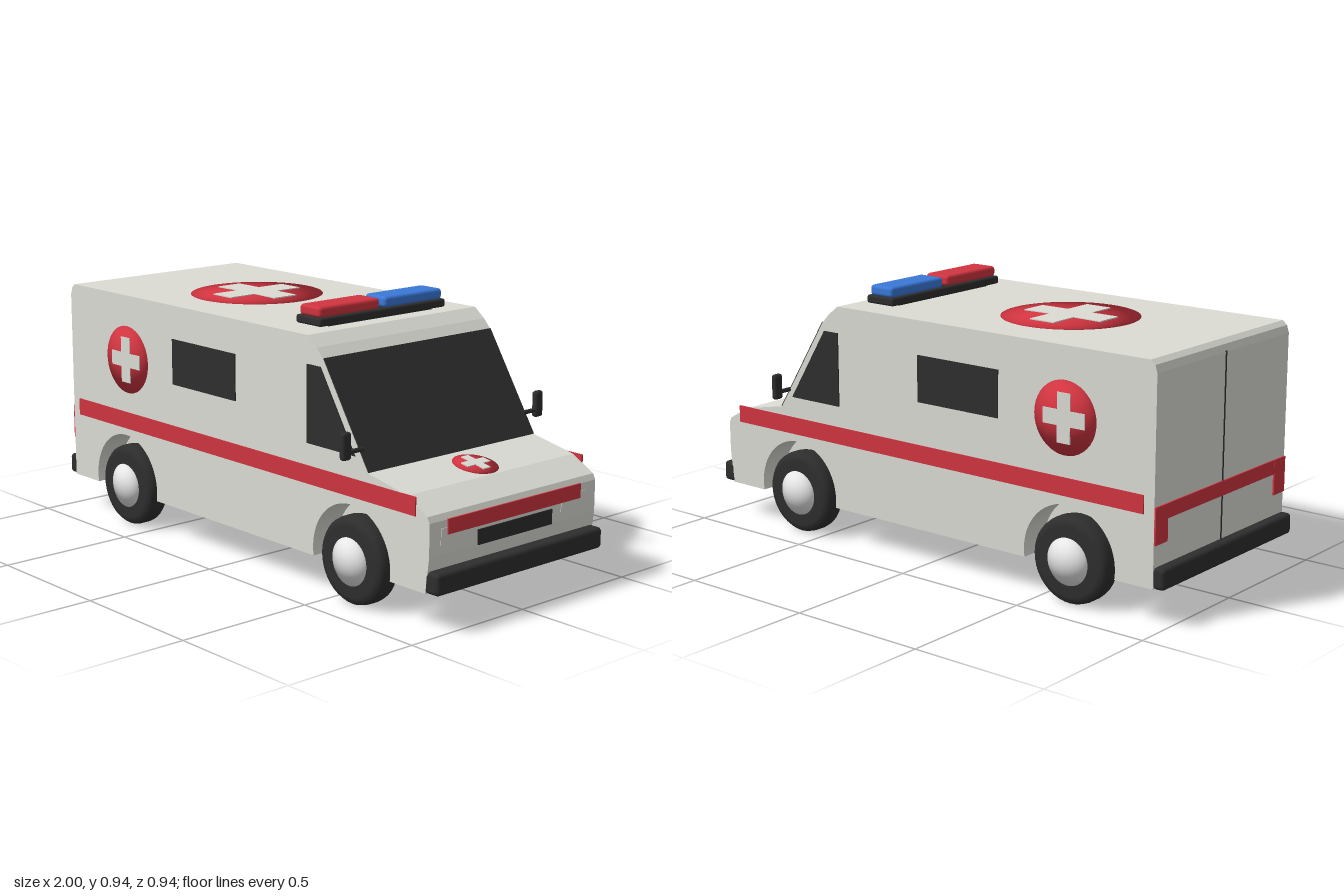
import * as THREE from 'three';
import { RoundedBoxGeometry } from 'three/addons/geometries/RoundedBoxGeometry.js';

const mat = (name, color, side = THREE.FrontSide) => {
  const m = new THREE.MeshStandardMaterial({ color, side });
  m.name = name;
  return m;
};

export function createModel() {
  const white = mat('bodyWhite', 0xdcdcd5);
  const red = mat('signalRed', 0xd03440);
  const blue = mat('signalBlue', 0x3a78d8);
  const black = mat('trimBlack', 0x2e2e2e);
  const silver = mat('hubSilver', 0xe6e6e6);

  const root = new THREE.Group();
  root.name = 'ambulance';

  const add = (name, geo, material, x = 0, y = 0, z = 0, parent = root) => {
    const mesh = new THREE.Mesh(geo, material);
    mesh.name = name;
    mesh.position.set(x, y, z);
    parent.add(mesh);
    return mesh;
  };
  // boxes given by their extents
  const box = (name, m, x0, x1, y0, y1, z0, z1, r = 0) => add(name,
    r ? new RoundedBoxGeometry(x1 - x0, y1 - y0, z1 - z0, 3, r) : new THREE.BoxGeometry(x1 - x0, y1 - y0, z1 - z0),
    m, (x0 + x1) / 2, (y0 + y1) / 2, (z0 + z1) / 2);
  const extrude = (shape, depth) =>
    new THREE.ExtrudeGeometry(shape, { depth, bevelEnabled: false, curveSegments: 32 });
  const polygon = pts => new THREE.Shape(pts.map(p => new THREE.Vector2(...p)));

  // shallow dome facing +z that keeps its rounded normals
  const dome = (r, h) => {
    const g = new THREE.SphereGeometry(r, 40, 12, 0, Math.PI * 2, 0, Math.PI / 2).rotateX(Math.PI / 2);
    const p = g.attributes.position;
    for (let i = 0; i < p.count; i++) p.setZ(i, p.getZ(i) * h / r);
    return g;
  };

  // body: solid core, plus outer skins with wheel arches
  const wheelX = [-0.628, 0.602];
  const profile = [[0.945, 0.13], [0.96, 0.25], [0.96, 0.36], [0.95, 0.38], [0.86, 0.43], [0.68, 0.465],
    [0.465, 0.803], [0.435, 0.835], [0.39, 0.87], [-0.935, 0.87], [-0.952, 0.855], [-0.96, 0.83], [-0.96, 0.13]];
  add('bodyCore', extrude(polygon(profile), 0.56), white, 0, 0, -0.28);
  const skin = polygon(profile);
  const archR = 0.185, archY = 0.16, dy = archY - 0.13, half = Math.sqrt(archR ** 2 - dy ** 2);
  const a = Math.asin(dy / archR);
  for (const x of wheelX) {
    skin.lineTo(x - half, 0.13);
    skin.absarc(x, archY, archR, Math.PI + a, -a, true);
  }
  skin.lineTo(0.945, 0.13);
  for (const z of [-0.39, 0.28]) add('bodySide', extrude(skin, 0.11), white, 0, 0, z);

  // wheels
  const tyre = new THREE.LatheGeometry([[0, -0.046], [0.12, -0.046], [0.138, -0.041], [0.147, -0.03], [0.15, -0.015],
    [0.15, 0.015], [0.147, 0.03], [0.138, 0.041], [0.12, 0.046], [0, 0.046]]
    .map(p => new THREE.Vector2(...p)), 40).rotateX(Math.PI / 2);
  for (const x of wheelX) for (const s of [-1, 1]) {
    const wheel = new THREE.Group();
    wheel.name = 'wheel';
    wheel.position.set(x, 0.153, s * 0.351);
    if (s < 0) wheel.rotation.y = Math.PI;
    add('tyre', tyre, black, 0, 0, 0, wheel);
    add('hubcap', dome(0.083, 0.012), silver, 0, 0, 0.044, wheel);
    root.add(wheel);
  }

  // round badges with a raised cross
  const badge = (name, r, x, y, z, rx, ry = 0) => {
    const g = new THREE.Group();
    g.name = name;
    g.position.set(x, y, z);
    g.rotation.set(rx, ry, 0);
    const L = r * 0.67, w = r * 0.21;
    add('badgeDisc', dome(r, 0.007), red, 0, 0, 0, g);
    const cross = polygon([[-w, -L], [w, -L], [w, -w], [L, -w], [L, w], [w, w], [w, L], [-w, L], [-w, w], [-L, w], [-L, -w], [-w, -w]]);
    add('badgeCross', extrude(cross, 0.008), white, 0, 0, 0.001, g);
    root.add(g);
  };
  badge('sideBadge', 0.125, -0.608, 0.632, 0.39, 0);
  badge('sideBadge', 0.125, -0.608, 0.632, -0.39, 0, Math.PI);
  badge('roofBadge', 0.241, -0.335, 0.87, 0, -Math.PI / 2);
  badge('hoodBadge', 0.078, 0.778, 0.446, 0, -Math.PI / 2, 0.19);

  // side stripes, windows and mirrors
  const cabWindow = extrude(polygon([[0.39, 0.51], [0.622, 0.51], [0.455, 0.775], [0.39, 0.775]]), 0.006);
  for (const s of [-1, 1]) {
    const z0 = s > 0 ? 0.388 : -0.394, z1 = z0 + 0.006;
    box('sideStripe', red, -0.92, 0.9, 0.372, 0.434, z0, z1);
    box('sideWindow', black, -0.333, 0.018, 0.586, 0.75, z0, z1);
    add('cabWindow', cabWindow, black, 0, 0, z0);
    const arm = add('mirrorArm', new THREE.CylinderGeometry(0.008, 0.008, 0.08, 10), black, 0.64, 0.535, s * 0.415);
    arm.rotation.x = Math.PI / 2;
    box('mirror', black, 0.628, 0.652, 0.51, 0.602, s * 0.45 - 0.019, s * 0.45 + 0.019, 0.01);
  }

  // windscreen lying on the sloped front
  const screen = add('windscreen', new THREE.BoxGeometry(0.4, 0.006, 0.776), black, 0.5735, 0.635, 0);
  screen.rotation.z = Math.atan2(-0.338, 0.215);

  // front end
  box('frontBumper', black, 0.935, 1, 0.13, 0.203, -0.39, 0.39, 0.014);
  box('frontStripe', red, 0.957, 0.965, 0.312, 0.362, -0.312, 0.312);
  box('grille', black, 0.955, 0.963, 0.248, 0.3, -0.175, 0.175);
  for (const s of [-1, 1]) box('headlight', white, 0.956, 0.962, 0.28, 0.335, s * 0.28 - 0.06, s * 0.28 + 0.06);

  // rear end
  box('rearBumper', black, -1, -0.955, 0.13, 0.203, -0.39, 0.39, 0.014);
  box('rearStripe', red, -0.965, -0.957, 0.35, 0.4, -0.388, 0.388);
  for (const s of [-1, 1]) box('tailLight', red, -0.966, -0.957, 0.275, 0.4, s * 0.355 - 0.034, s * 0.355 + 0.034);
  box('doorSeam', black, -0.962, -0.957, 0.2, 0.835, -0.003, 0.003);

  // roof light bar
  box('lightBarFoot', black, 0.235, 0.325, 0.865, 0.88, -0.24, 0.24);
  box('lightBarBase', black, 0.218, 0.342, 0.875, 0.904, -0.292, 0.292, 0.008);
  box('redLight', red, 0.228, 0.332, 0.902, 0.94, 0.012, 0.285, 0.012);
  box('blueLight', blue, 0.228, 0.332, 0.902, 0.94, -0.285, -0.012, 0.012);

  return root;
}
